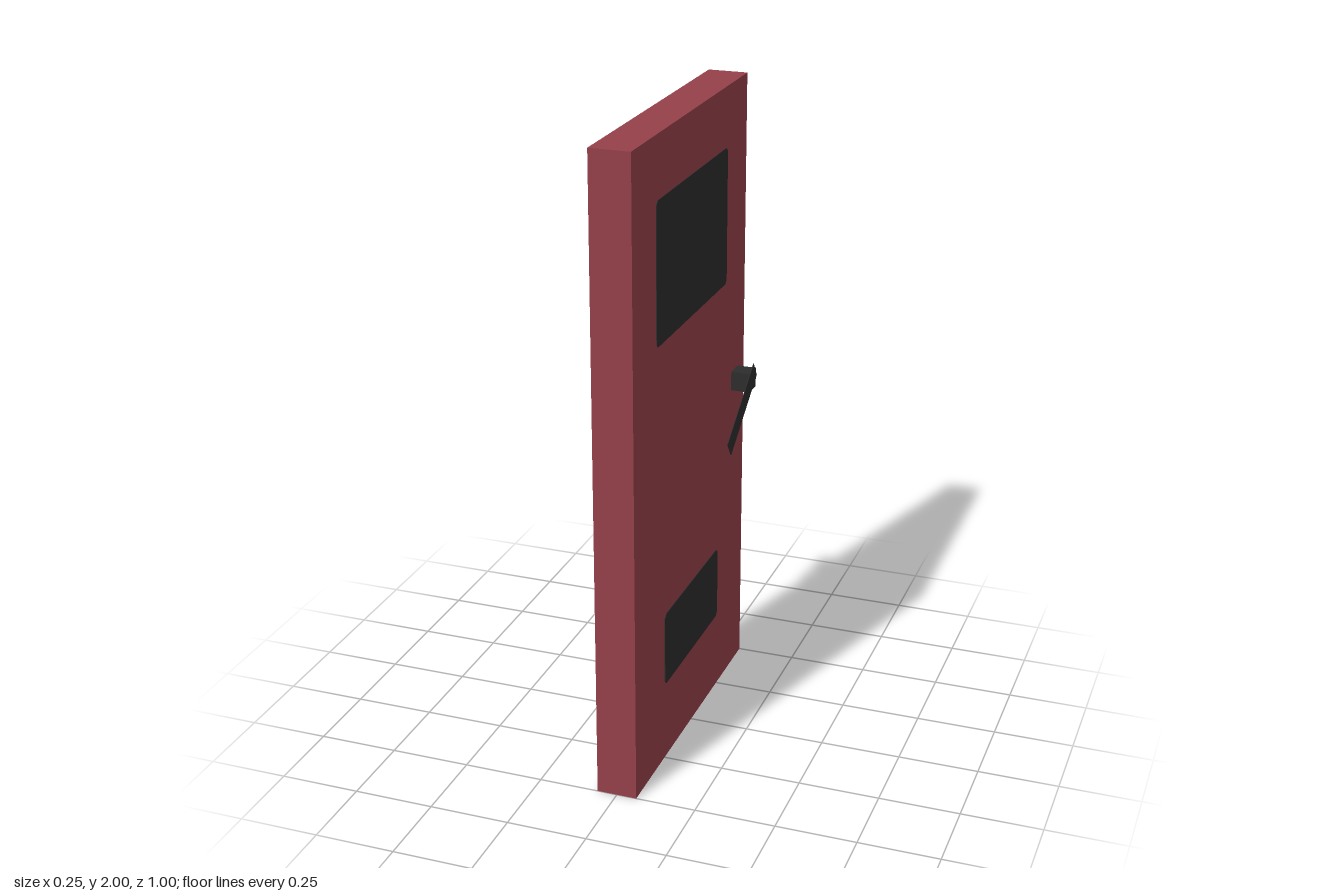
import * as THREE from 'three';

const red = new THREE.MeshStandardMaterial({ color: 0x95404a });
red.name = 'red paint';
const dark = new THREE.MeshStandardMaterial({ color: 0x2d2d2d });
dark.name = 'dark grey';

function box(name, material, size, position) {
  const mesh = new THREE.Mesh(new THREE.BoxGeometry(...size), material);
  mesh.name = name;
  mesh.position.set(...position);
  return mesh;
}

// Thin plate with clipped corners, lying on a side face of the door
function plate(name, side, halfWidth, bottom, top) {
  const c = 0.012, w = halfWidth;
  const outline = [
    [-w + c, bottom], [w - c, bottom], [w, bottom + c], [w, top - c],
    [w - c, top], [-w + c, top], [-w, top - c], [-w, bottom + c],
  ].map(([x, y]) => new THREE.Vector2(x, y));
  const geometry = new THREE.ExtrudeGeometry(new THREE.Shape(outline), { depth: 0.003, bevelEnabled: false });
  const mesh = new THREE.Mesh(geometry, dark);
  mesh.name = name;
  mesh.rotation.y = side * Math.PI / 2;
  mesh.position.x = side * 0.0615;
  return mesh;
}

export function createModel() {
  const door = new THREE.Group();
  door.name = 'door';

  door.add(box('doorSlab', red, [0.125, 2, 1], [0, 1, 0]));

  // Same fittings on both faces
  for (const side of [1, -1]) {
    const label = side > 0 ? 'left' : 'right';
    door.add(plate(label + 'Window', side, 0.3125, 1.38, 1.8125));
    door.add(plate(label + 'LowerPanel', side, 0.248, 0.257, 0.497));

    // Handle: square stub with a thin sloping lever on its end
    const handle = new THREE.Group();
    handle.name = label + 'Handle';
    handle.add(box('handleStub', dark, [0.0625, 0.0625, 0.0625], [side * 0.09375, 1.03125, -0.40625]));
    const lever = box('handleLever', dark, [0.002, 0.0605, 0.3125], [side * 0.125, 0.972, -0.3]);
    lever.rotation.x = THREE.MathUtils.degToRad(35);
    handle.add(lever);
    door.add(handle);
  }
  return door;
}
